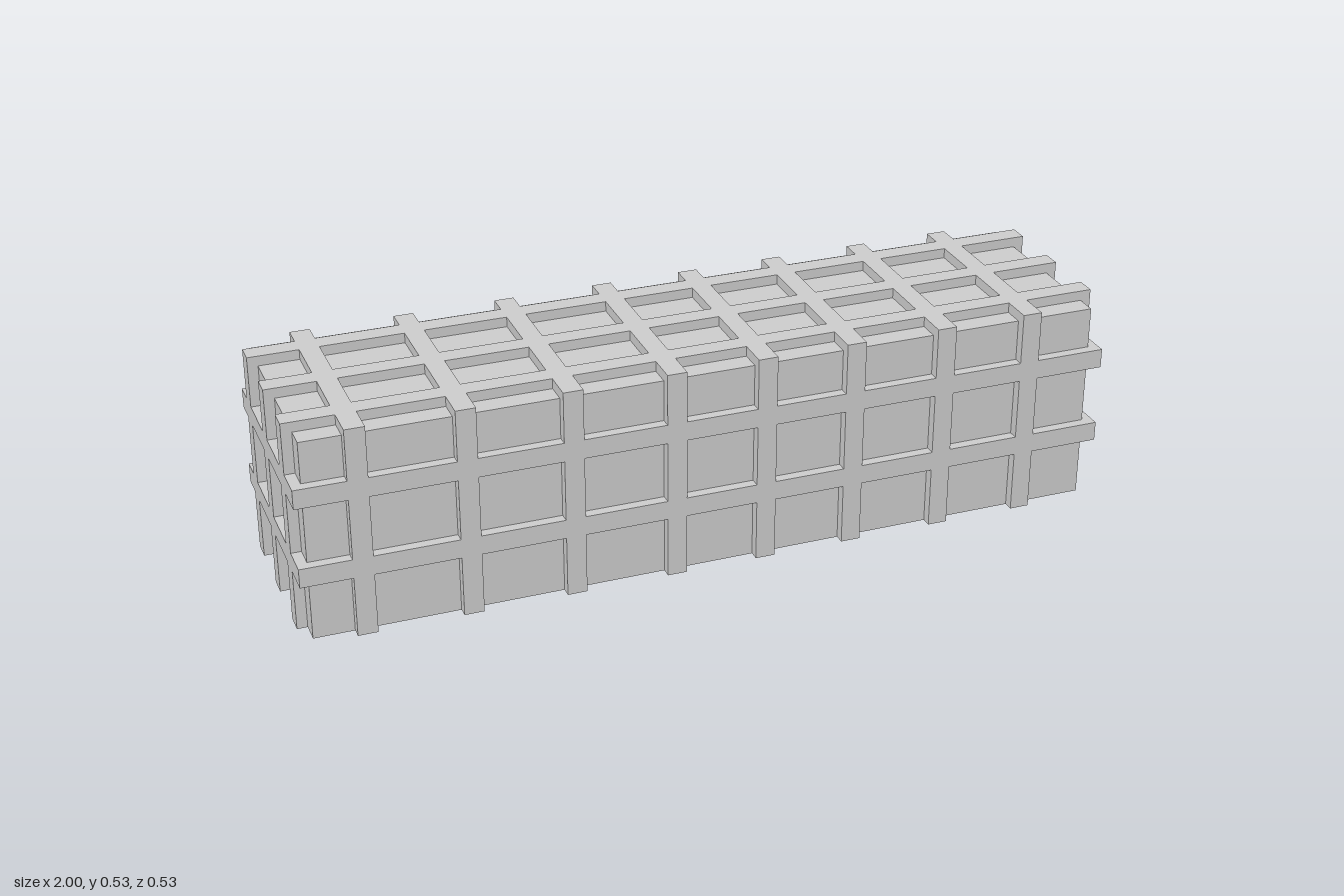
import * as THREE from 'three';

// Overall half length, height and half depth, and how far the bands stand proud
const L = 1, H = 0.527, D = 0.264, T = 0.025, BAND = 0.048;

export function createModel() {
  const group = new THREE.Group();
  const material = new THREE.MeshStandardMaterial({ color: 0xcccccc, flatShading: true });

  const add = (geometry, name) => {
    const mesh = new THREE.Mesh(geometry, material);
    mesh.name = name;
    group.add(mesh);
  };

  // Extrudes a flat outline by the band width, centred on its plane
  const band = (points) => {
    const shape = new THREE.Shape(points.map(([x, y]) => new THREE.Vector2(x, y)));
    return new THREE.ExtrudeGeometry(shape, { depth: BAND, bevelEnabled: false })
      .translate(0, 0, -BAND / 2);
  };

  // Solid block; back and underside are flush with the bands
  const core = new THREE.BoxGeometry(2 * (L - T), H - T, 2 * D - T);
  add(core.translate(0, (H - T) / 2, -T / 2), 'coreBlock');

  // Bands over the top and down the front
  const overFront = [[-D, 0], [-D + T, 0], [-D + T, H - T], [D, H - T], [D, H], [-D, H]];
  [-0.853, -0.602, -0.352, -0.103, 0.121, 0.344, 0.577, 0.802].forEach((x) => {
    add(band(overFront).rotateY(Math.PI / 2).translate(x, 0, 0), 'crossBand');
  });

  // Bands along the top and down both ends
  const overEnds = [
    [-L, 0], [-L + T, 0], [-L + T, H - T], [L - T, H - T],
    [L - T, 0], [L, 0], [L, H], [-L, H],
  ];
  [0.163, -0.012, -0.187].forEach((z) => {
    add(band(overEnds).translate(0, 0, z), 'lengthwiseBand');
  });

  // Level bands around the front and both ends
  const aroundFront = [
    [-L, D], [-L, -D], [L, -D], [L, D],
    [L - T, D], [L - T, -D + T], [-L + T, -D + T], [-L + T, D],
  ];
  [0.176, 0.376].forEach((y) => {
    add(band(aroundFront).rotateX(-Math.PI / 2).translate(0, y, 0), 'levelBand');
  });

  return group;
}
